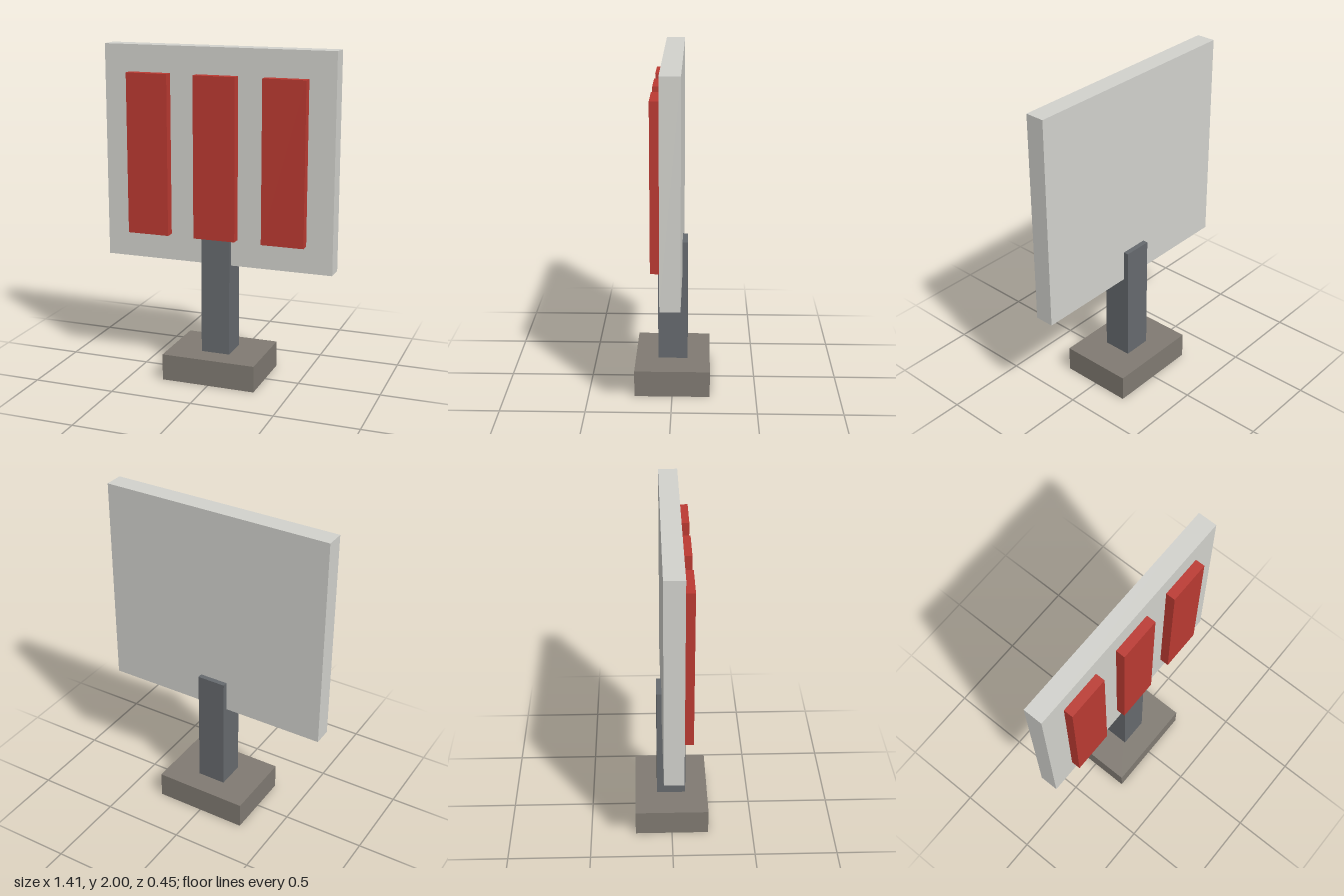
import * as THREE from 'three';

export function createModel() {
  const sign = new THREE.Group();
  sign.name = 'signBoard';

  const material = (color) => new THREE.MeshStandardMaterial({ color });
  const stone = material(0x807a72);
  const steel = material(0x666a6e);
  const white = material(0xd2d2cd);
  const red = material(0xbb3a32);

  // Box given by its width, bottom, top, depth and centre in x and z
  function box(name, mat, width, bottom, top, depth, x = 0, z = 0) {
    const mesh = new THREE.Mesh(new THREE.BoxGeometry(width, top - bottom, depth), mat);
    mesh.name = name;
    mesh.position.set(x, (bottom + top) / 2, z);
    sign.add(mesh);
  }

  // Foot block and the square post rising out of it into the board
  box('base', stone, 0.58, 0, 0.161, 0.45);
  box('post', steel, 0.177, 0.01, 0.904, 0.177);

  // Board
  box('panel', white, 1.414, 0.713, 2, 0.115);

  // Three raised bars on the front of the board
  ['rightBar', 'middleBar', 'leftBar'].forEach((name, i) => {
    box(name, red, 0.257, 0.874, 1.84, 0.06, (i - 1) * 0.42, 0.085);
  });

  return sign;
}
